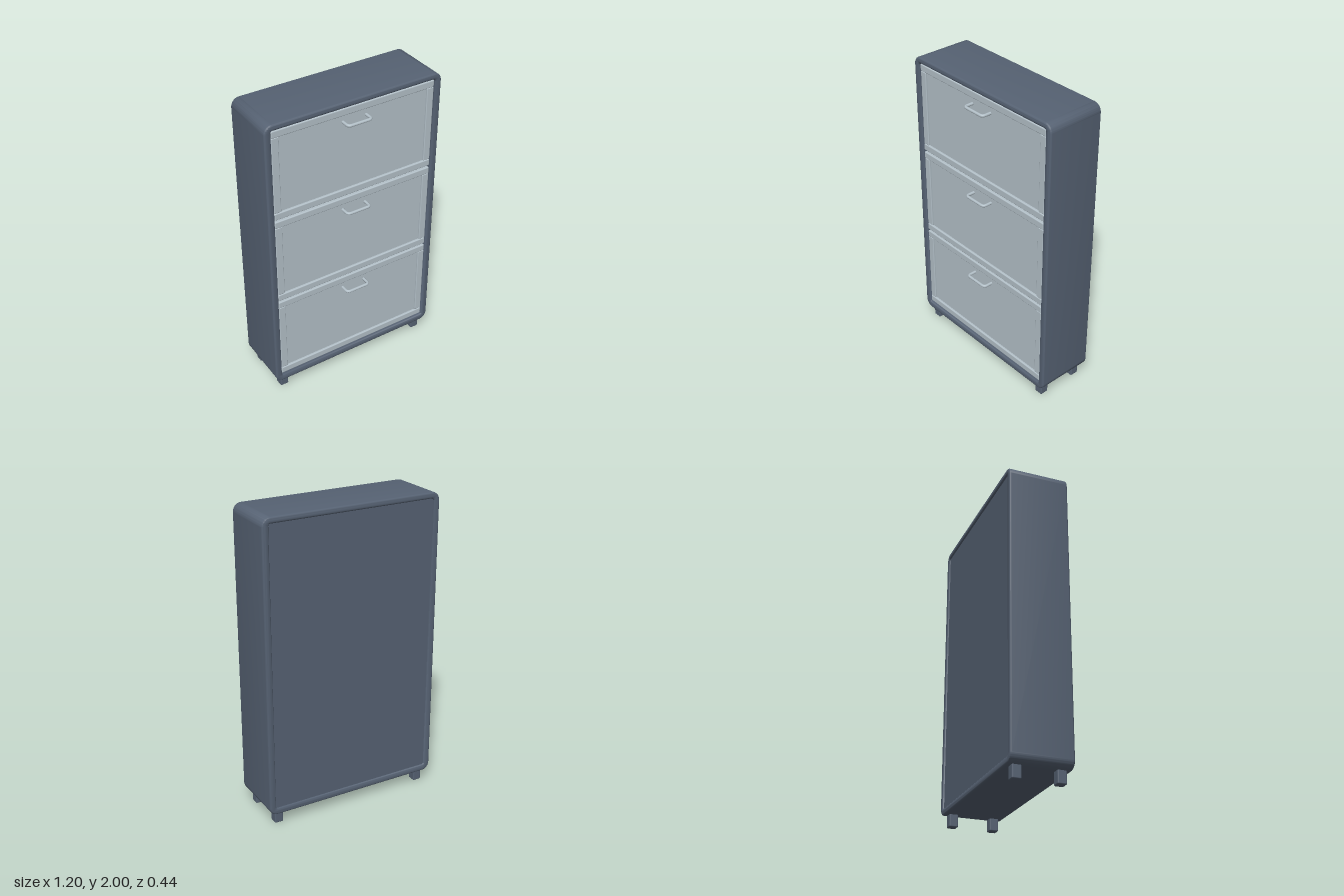
import * as THREE from 'three';
import { toCreasedNormals } from 'three/addons/utils/BufferGeometryUtils.js';
import { RoundedBoxGeometry } from 'three/addons/geometries/RoundedBoxGeometry.js';

const slate = new THREE.MeshStandardMaterial({ color: 0x566273 });
slate.name = 'slate';
const paleGrey = new THREE.MeshStandardMaterial({ color: 0xb3c0c8 });
paleGrey.name = 'paleGrey';

// Rectangle with rounded corners, traced on a Shape or Path
function roundedRect(path, x0, y0, x1, y1, r) {
  path.moveTo(x0 + r, y0);
  path.absarc(x1 - r, y0 + r, r, -Math.PI / 2, 0);
  path.absarc(x1 - r, y1 - r, r, 0, Math.PI / 2);
  path.absarc(x0 + r, y1 - r, r, Math.PI / 2, Math.PI);
  path.absarc(x0 + r, y0 + r, r, Math.PI, Math.PI * 1.5);
  return path;
}

function add(parent, name, geometry, material, x, y, z) {
  const mesh = new THREE.Mesh(geometry, material);
  mesh.name = name;
  mesh.position.set(x, y, z);
  parent.add(mesh);
  return mesh;
}

// Box with softened edges
const softBox = (w, h, d, r) => new RoundedBoxGeometry(w, h, d, 3, r);

// Bent-rod pull handle running out from the panel and back
function handleGeometry() {
  const v = (x, z) => new THREE.Vector3(x, 0, z);
  const half = 0.08, back = 0.14, front = 0.208, r = 0.022;
  const path = new THREE.CurvePath();
  path.add(new THREE.LineCurve3(v(-half, back), v(-half, front - r)));
  path.add(new THREE.QuadraticBezierCurve3(v(-half, front - r), v(-half, front), v(-half + r, front)));
  path.add(new THREE.LineCurve3(v(-half + r, front), v(half - r, front)));
  path.add(new THREE.QuadraticBezierCurve3(v(half - r, front), v(half, front), v(half, front - r)));
  path.add(new THREE.LineCurve3(v(half, front - r), v(half, back)));
  return new THREE.TubeGeometry(path, 60, 0.0095, 12, false);
}

// Flap front: recessed panel framed by two rails and two stiles
function createDrawer(centreY) {
  const drawer = new THREE.Group();
  drawer.name = 'drawerFront';
  const halfW = 0.553, halfH = 0.299, bar = 0.047, z = 0.145;
  add(drawer, 'panel', new THREE.BoxGeometry(1.09, 0.58, 0.02), paleGrey, 0, centreY, 0.138);
  for (const s of [-1, 1]) {
    add(drawer, 'rail', softBox(2 * halfW, bar, 0.034, 0.007), paleGrey, 0, centreY + s * (halfH - bar / 2), z);
    add(drawer, 'stile', softBox(bar, 2 * (halfH - bar), 0.03, 0.005), paleGrey, s * (halfW - bar / 2), centreY, z);
  }
  add(drawer, 'handle', handleGeometry(), paleGrey, 0, centreY + 0.207, 0);
  return drawer;
}

export function createModel() {
  const cabinet = new THREE.Group();
  cabinet.name = 'cabinet';

  // Outer shell: rounded frame open at front and back
  const bevel = 0.012;
  const outline = roundedRect(new THREE.Shape(), -0.6, 0.08, 0.6, 2, 0.055);
  outline.holes.push(roundedRect(new THREE.Path(), -0.556, 0.125, 0.556, 1.96, 0.012));
  const shell = new THREE.ExtrudeGeometry(outline, {
    depth: 0.39 - 2 * bevel, bevelEnabled: true, bevelSize: bevel, bevelThickness: bevel,
    bevelOffset: -bevel, bevelSegments: 4, curveSegments: 10,
  });
  add(cabinet, 'shell', toCreasedNormals(shell, 0.6), slate, 0, 0, -0.22 + bevel);

  // Slightly recessed back panel
  add(cabinet, 'backPanel', new THREE.BoxGeometry(1.13, 1.85, 0.02), slate, 0, 1.0425, -0.2);

  // Shelves seen in the gaps between drawers
  for (const y of [0.74, 1.35]) {
    add(cabinet, 'divider', new THREE.BoxGeometry(1.12, 0.04, 0.32), slate, 0, y, -0.035);
  }

  for (const y of [0.435, 1.045, 1.656]) cabinet.add(createDrawer(y));

  // Four short feet
  for (const x of [-0.525, 0.525]) {
    for (const z of [-0.162, 0.109]) {
      add(cabinet, 'foot', softBox(0.058, 0.1, 0.058, 0.008), slate, x, 0.05, z);
    }
  }
  return cabinet;
}
